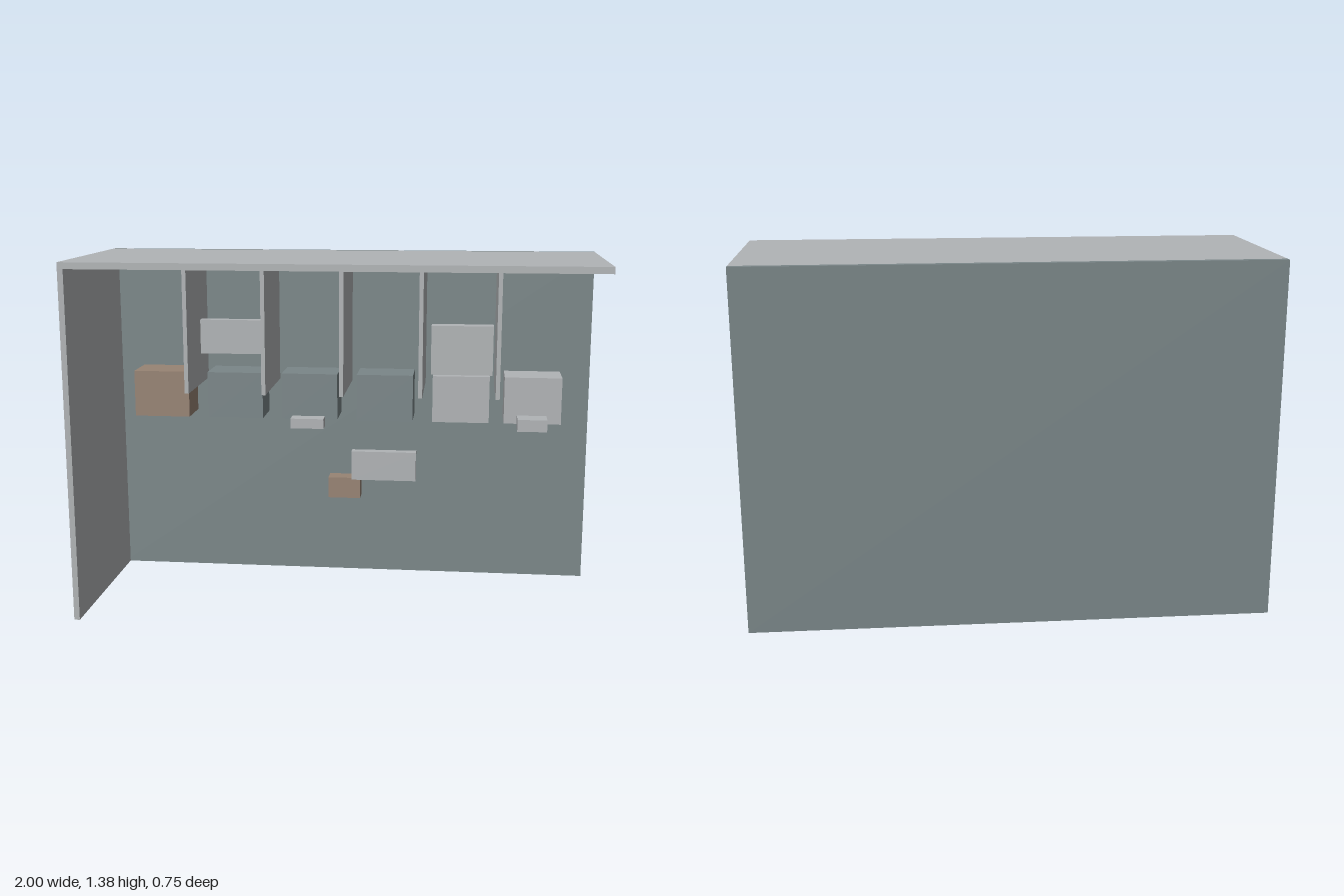
import * as THREE from 'three';

export function createModel() {
  const gray = new THREE.MeshStandardMaterial({ name: 'paleGray', color: 0xb1b4b6 });
  const slate = new THREE.MeshStandardMaterial({ name: 'slateTeal', color: 0x7b8789 });
  const brown = new THREE.MeshStandardMaterial({ name: 'tan', color: 0x988474 });

  const model = new THREE.Group();
  model.name = 'officeBay';

  // Box given by its extents on each axis
  function box(name, material, [x0, x1], [y0, y1], [z0, z1]) {
    const mesh = new THREE.Mesh(new THREE.BoxGeometry(x1 - x0, y1 - y0, z1 - z0), material);
    mesh.position.set((x0 + x1) / 2, (y0 + y1) / 2, (z0 + z1) / 2);
    mesh.name = name;
    model.add(mesh);
  }

  // Shell: back wall, one side wall and the ceiling
  box('backWall', slate, [-1, 1], [0, 1.38], [-0.375, -0.348]);
  box('sideWall', gray, [-1, -0.978], [0, 1.355], [-0.348, 0.375]);
  box('ceiling', gray, [-1, 1], [1.355, 1.38], [-0.348, 0.375]);

  // Ceiling light panels
  [-0.57, -0.003, 0.61].forEach((x) =>
    box('ceilingLight', gray, [x - 0.192, x + 0.192], [1.34, 1.35], [0.06, 0.197]));

  // Hanging partitions
  [-0.611, -0.302, 0.007, 0.316, 0.616].forEach((x) =>
    box('partition', gray, [x - 0.008, x + 0.008], [0.837, 1.347], [-0.348, 0.036]));

  // Row of wall cabinets
  [[-0.767, brown], [-0.457, slate], [-0.147, slate], [0.163, slate], [0.473, gray], [0.763, gray]]
    .forEach(([x, material]) =>
      box('cabinet', material, [x - 0.115, x + 0.115], [0.698, 0.888], [-0.345, -0.18]));

  // Screens and the small items around them
  box('largeScreen', gray, [0.355, 0.595], [0.925, 1.117], [-0.06, 0]);
  box('screenTray', gray, [0.382, 0.567], [0.907, 0.919], [-0.2, -0.11]);
  box('smallScreen', gray, [-0.595, -0.345], [0.968, 1.107], [-0.21, -0.17]);
  box('lowScreen', gray, [0.03, 0.295], [0.453, 0.573], [-0.19, -0.15]);
  box('centerDevice', gray, [-0.215, -0.08], [0.677, 0.717], [-0.157, -0.095]);
  box('sideDevice', gray, [0.7, 0.818], [0.687, 0.735], [-0.168, -0.08]);
  box('lowBox', brown, [-0.08, 0.055], [0.34, 0.428], [-0.346, -0.273]);

  return model;
}
